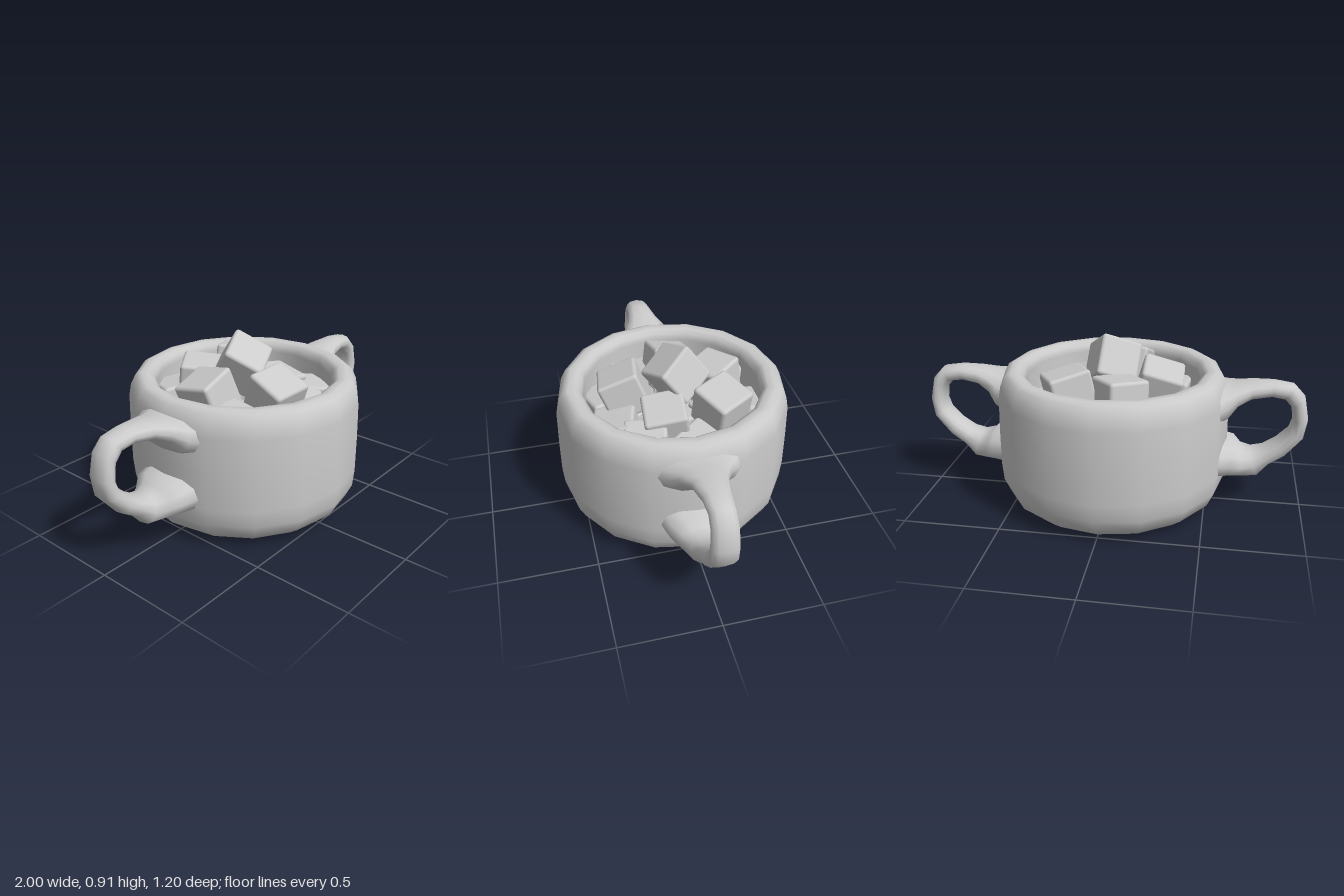
import * as THREE from 'three';
import { RoundedBoxGeometry } from 'three/addons/geometries/RoundedBoxGeometry.js';

const grey = new THREE.MeshStandardMaterial({ color: 0xcccccc });

function addMesh(parent, geometry, name) {
  const mesh = new THREE.Mesh(geometry, grey);
  mesh.name = name;
  parent.add(mesh);
  return mesh;
}

// Bowl: sixteen-sided wall with rounded foot, rolled rim and hollow inside
function bowlGeometry() {
  const profile = [
    [0, 0.002], [0.38, 0.002], [0.41, 0.004], [0.5, 0.022], [0.56, 0.07], [0.592, 0.14], [0.6, 0.23],
    [0.6, 0.42], [0.596, 0.6], [0.585, 0.66], [0.56, 0.71], [0.53, 0.725], [0.49, 0.723],
    [0.465, 0.705], [0.455, 0.67], [0.455, 0.2], [0.42, 0.12], [0.36, 0.1], [0, 0.1],
  ].map(([r, y]) => new THREE.Vector2(r, y));
  return new THREE.LatheGeometry(profile, 16);
}

// Handle: loop of rounded sections, each [outerX, outerY, innerX, innerY, halfDepth]
const handleSections = [
  [0.52, 0.67, 0.52, 0.46, 0.23],
  [0.585, 0.67, 0.6, 0.5, 0.175],
  [0.64, 0.675, 0.645, 0.56, 0.125],
  [0.72, 0.688, 0.71, 0.597, 0.088],
  [0.82, 0.692, 0.81, 0.613, 0.068],
  [0.92, 0.678, 0.875, 0.602, 0.062],
  [0.975, 0.62, 0.912, 0.56, 0.064],
  [1.0, 0.5, 0.922, 0.49, 0.068],
  [0.985, 0.4, 0.905, 0.435, 0.072],
  [0.9, 0.295, 0.845, 0.375, 0.074],
  [0.82, 0.24, 0.78, 0.332, 0.078],
  [0.765, 0.175, 0.72, 0.318, 0.09],
  [0.69, 0.175, 0.67, 0.325, 0.125],
  [0.615, 0.18, 0.635, 0.36, 0.17],
  [0.52, 0.17, 0.52, 0.38, 0.2],
];

function handleGeometry() {
  const sides = 12;
  const positions = [];
  const indices = [];
  const soften = (v) => Math.sign(v) * Math.abs(v) ** 0.85;
  handleSections.forEach(([ox, oy, ix, iy, depth], i) => {
    for (let j = 0; j < sides; j++) {
      const angle = (j / sides) * Math.PI * 2;
      const c = soften(Math.cos(angle)) / 2;
      positions.push((ox + ix) / 2 + (ox - ix) * c, (oy + iy) / 2 + (oy - iy) * c,
        depth * soften(Math.sin(angle)));
      if (i === handleSections.length - 1) continue;
      const a = i * sides + j;
      const b = i * sides + ((j + 1) % sides);
      indices.push(a, b, a + sides, b, b + sides, a + sides);
    }
  });
  const geometry = new THREE.BufferGeometry();
  geometry.setAttribute('position', new THREE.Float32BufferAttribute(positions, 3));
  geometry.setIndex(indices);
  geometry.computeVertexNormals();
  return geometry;
}

// Heaped cubes: [x, y, z, pitch, yaw, roll]
const heap = [
  [0, 0.75, -0.02, 0.5, 0.6, 0.4],
  [-0.05, 0.655, 0.24, 0.37, -0.1, 0.1],
  [-0.24, 0.645, -0.03, -0.2, 0.03, 0.28],
  [0.19, 0.65, -0.21, 0.1, 0.5, -0.2],
  [-0.07, 0.635, -0.24, 0.1, 0.65, 0.08],
  [0.13, 0.52, -0.32, 0.05, -0.05, 0.1],
  [-0.17, 0.53, -0.31, -0.1, -0.4, 0.1],
  [0.17, 0.59, 0.07, 0.15, -0.12, -0.2],
  [0.28, 0.52, 0.19, 0.1, -0.25, -0.25],
  [0.12, 0.51, 0.31, 0.2, -0.25, 0],
  [-0.15, 0.48, 0.31, 0.15, 0.3, 0.1],
  [-0.27, 0.52, 0.16, 0.1, -0.05, 0.12],
  [-0.33, 0.5, -0.1, 0, -0.15, 0.1],
  [0.32, 0.48, -0.07, 0, 0.7, -0.1],
];

export function createModel() {
  const model = new THREE.Group();
  model.name = 'sugarBowl';
  addMesh(model, bowlGeometry(), 'bowl');

  const handle = handleGeometry();
  addMesh(model, handle, 'leftHandle');
  addMesh(model, handle, 'rightHandle').rotation.y = Math.PI;

  const cubes = new THREE.Group();
  cubes.name = 'sugarCubes';
  model.add(cubes);
  const cube = new RoundedBoxGeometry(0.215, 0.215, 0.215, 2, 0.018);
  const addCube = ([x, y, z, pitch, yaw, roll]) => {
    const mesh = addMesh(cubes, cube, 'sugarCube');
    mesh.position.set(x, y, z);
    mesh.rotation.set(pitch, yaw, roll, 'YXZ');
  };
  heap.forEach(addCube);
  // Lower layer that carries the heap
  addCube([0, 0.4, 0, 0, 0.4, 0]);
  for (let i = 0; i < 7; i++) {
    const a = (i / 7) * Math.PI * 2;
    addCube([Math.sin(a) * 0.29, 0.3, Math.cos(a) * 0.29, 0.1, a, 0.1]);
  }
  return model;
}
